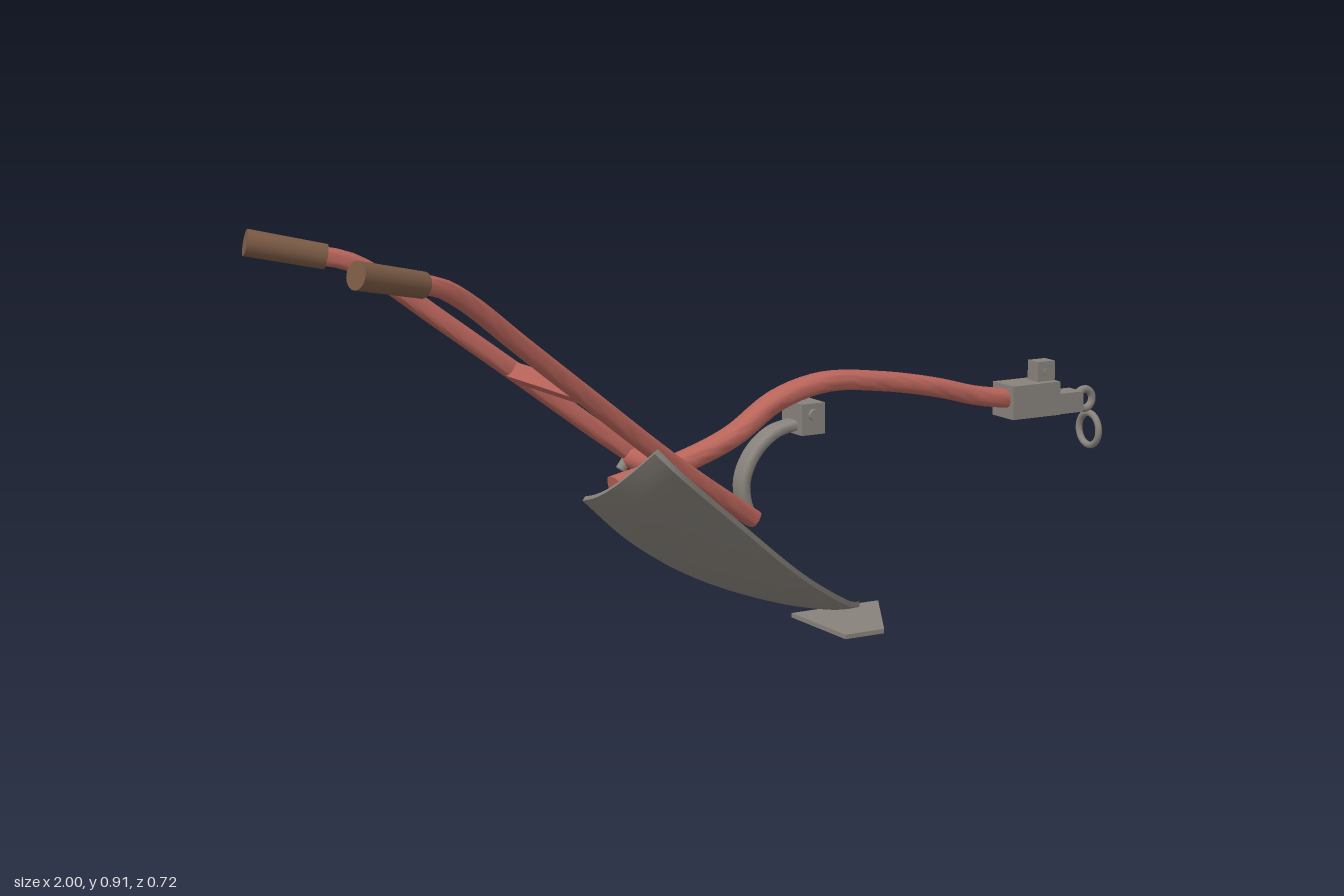
import * as THREE from 'three';
import { toCreasedNormals } from 'three/addons/utils/BufferGeometryUtils.js';

const V = (x, y, z) => new THREE.Vector3(x, y, z);
const material = (name, color) => Object.assign(new THREE.MeshStandardMaterial({ color }), { name });
const MID = -0.053; // plane of the beam

// Skin a list of closed rings, with strip caps at both ends
function loft(rings) {
  const m = rings[0].length, last = (rings.length - 1) * m, index = [];
  for (let i = 0; i < rings.length - 1; i++) {
    for (let j = 0; j < m; j++) {
      const a = i * m + j, b = i * m + (j + 1) % m;
      index.push(a, b, b + m, a, b + m, a + m);
    }
  }
  for (let j = 0; j < m / 2 - 1; j++) {
    const a = j, b = j + 1, c = m - 2 - j, d = m - 1 - j;
    index.push(a, c, b, a, d, c);
    index.push(last + a, last + b, last + c, last + a, last + c, last + d);
  }
  const geo = new THREE.BufferGeometry().setFromPoints(rings.flat());
  geo.setIndex(index);
  return toCreasedNormals(geo, 0.75);
}

// Sweep a rounded bar (half width w in z, half height h) along a path
function sweep(points, w, h, power = 0.6, steps = 40, sides = 20) {
  const curve = new THREE.CatmullRomCurve3(points);
  const rings = [];
  for (let i = 0; i <= steps; i++) {
    const p = curve.getPointAt(i / steps), t = curve.getTangentAt(i / steps);
    const s = V(0, 0, 1).addScaledVector(t, -t.z).normalize();
    const n = t.clone().cross(s);
    rings.push(Array.from({ length: sides }, (_, j) => {
      const a = (j + 0.5) / sides * Math.PI * 2, c = Math.cos(a), d = Math.sin(a);
      return p.clone()
        .addScaledVector(s, w * Math.sign(c) * Math.abs(c) ** power)
        .addScaledVector(n, h * Math.sign(d) * Math.abs(d) ** power);
    }));
  }
  return loft(rings);
}

// Thin, dished blade between the landside edge and the outer edge
function moldboardGeometry() {
  const inner = new THREE.CatmullRomCurve3([
    V(0.32, 0.012, -0.043), V(0.1, 0.055, -0.043), V(-0.1, 0.135, -0.043),
    V(-0.25, 0.23, -0.043), V(-0.36, 0.33, -0.043)]);
  const outer = new THREE.CatmullRomCurve3([
    V(0.325, 0.016, -0.02), V(0.235, 0.05, 0.075), V(0.03, 0.165, 0.21),
    V(-0.18, 0.318, 0.305), V(-0.365, 0.465, 0.357), V(-0.4, 0.503, 0.345)]);
  const rings = [], steps = 32, n = 12;
  for (let i = 0; i <= steps; i++) {
    const u = i / steps, L = inner.getPointAt(u), R = outer.getPointAt(u);
    const side = R.clone().sub(L), width = side.length();
    const up = inner.getTangentAt(u).add(outer.getTangentAt(u)).cross(side).normalize();
    const point = (v, lift) => L.clone().lerp(R, v)
      .addScaledVector(up, lift - 0.08 * width * Math.sin(Math.PI * v));
    const ring = [];
    for (let j = n; j >= 0; j--) ring.push(point(j / n, 0.006));
    for (let j = 0; j <= n; j++) ring.push(point(j / n, -0.006));
    rings.push(ring);
  }
  return loft(rings);
}

export function createModel() {
  const model = new THREE.Group();
  model.name = 'plough';
  const red = material('red paint', 0xb8645a);
  const steel = material('steel', 0x87827b);
  const brown = material('brown grip', 0x7a5a44);

  const add = (name, geo, mat, x = 0, y = 0, z = 0) => {
    const mesh = new THREE.Mesh(geo, mat);
    mesh.name = name;
    mesh.position.set(x, y, z);
    model.add(mesh);
    return mesh;
  };
  const box = (name, w, h, d, mat, x, y, z = MID) => add(name, new THREE.BoxGeometry(w, h, d), mat, x, y, z);
  const pin = (name, r, length, mat, x, y, z = MID, sides = 20) =>
    add(name, new THREE.CylinderGeometry(r, r, length, sides).rotateX(Math.PI / 2), mat, x, y, z);

  // Curved main beam
  add('beam', sweep([
    [-0.28, 0.345], [-0.125, 0.378], [0.01, 0.425], [0.125, 0.495], [0.25, 0.525],
    [0.4, 0.513], [0.55, 0.485], [0.66, 0.456], [0.76, 0.44],
  ].map(([x, y]) => V(x, y, MID)), 0.03, 0.022, 0.7), red);

  // Two splayed handles with grips and fixing bolts
  for (const s of [1, -1]) {
    const side = s > 0 ? 'front' : 'back';
    add(side + 'Handle', sweep([
      [0.012, 0.26, 0.085], [-0.2, 0.405, 0.118], [-0.44, 0.588, 0.155], [-0.6, 0.71, 0.185],
      [-0.72, 0.802, 0.212], [-0.79, 0.842, 0.228], [-0.86, 0.858, 0.245], [-0.95, 0.879, 0.267],
    ].map(([x, y, z]) => V(x, y, MID + s * z)), 0.025, 0.02), red);

    const a = V(-0.832, 0.852, MID + s * 0.238), b = V(-0.993, 0.888, MID + s * 0.28);
    const grip = add(side + 'Grip', new THREE.CylinderGeometry(0.029, 0.027, a.distanceTo(b), 24), brown);
    grip.position.copy(a).lerp(b, 0.5);
    grip.quaternion.setFromUnitVectors(V(0, 1, 0), b.clone().sub(a).normalize());

    const bolt = add(side + 'HandleBolt', new THREE.CylinderGeometry(0.012, 0.012, 0.03, 12), steel,
      -0.195, 0.366, MID + s * 0.112);
    bolt.rotation.z = -0.65;
  }

  // Cross bars between the handles
  box('upperCrossbar', 0.03, 0.036, 0.32, red, -0.44, 0.586).rotation.z = -0.65;
  pin('lowerCrossbar', 0.025, 0.215, red, -0.176, 0.379);

  // Blade and share
  add('moldboard', moldboardGeometry(), steel);
  const share = new THREE.Shape([[0.16, 0.043], [0.16, -0.18], [0.26, -0.18], [0.39, 0.043]]
    .map(([x, y]) => new THREE.Vector2(x, y)));
  add('share', new THREE.ExtrudeGeometry(share, { depth: 0.01, bevelEnabled: false })
    .rotateX(-Math.PI / 2), steel, 0, 0.002, 0);

  // Curved tine held by a clamp under the beam
  add('tine', sweep([[0.18, 0.44], [0.115, 0.425], [0.065, 0.385], [0.038, 0.33], [0.04, 0.28], [0.06, 0.232]]
    .map(([x, y]) => V(x, y, MID)), 0.025, 0.012, 0.5, 24), steel);
  box('clamp', 0.06, 0.07, 0.084, steel, 0.195, 0.453);
  pin('clampBolt', 0.013, 0.102, steel, 0.195, 0.463);

  // Hitch head with upright lug, eye and hanging ring
  box('hitchBlock', 0.132, 0.078, 0.082, steel, 0.8, 0.437);
  box('hitchNose', 0.085, 0.048, 0.056, steel, 0.9, 0.42);
  box('hitchLug', 0.048, 0.05, 0.04, steel, 0.841, 0.497);
  pin('lugPin', 0.009, 0.046, steel, 0.841, 0.497);
  add('hitchEye', new THREE.TorusGeometry(0.023, 0.009, 12, 28), steel, 0.965, 0.42, MID);
  add('towRing', new THREE.TorusGeometry(0.038, 0.008, 12, 32).rotateY(Math.PI / 2), steel, 0.981, 0.347, MID);

  return model;
}
